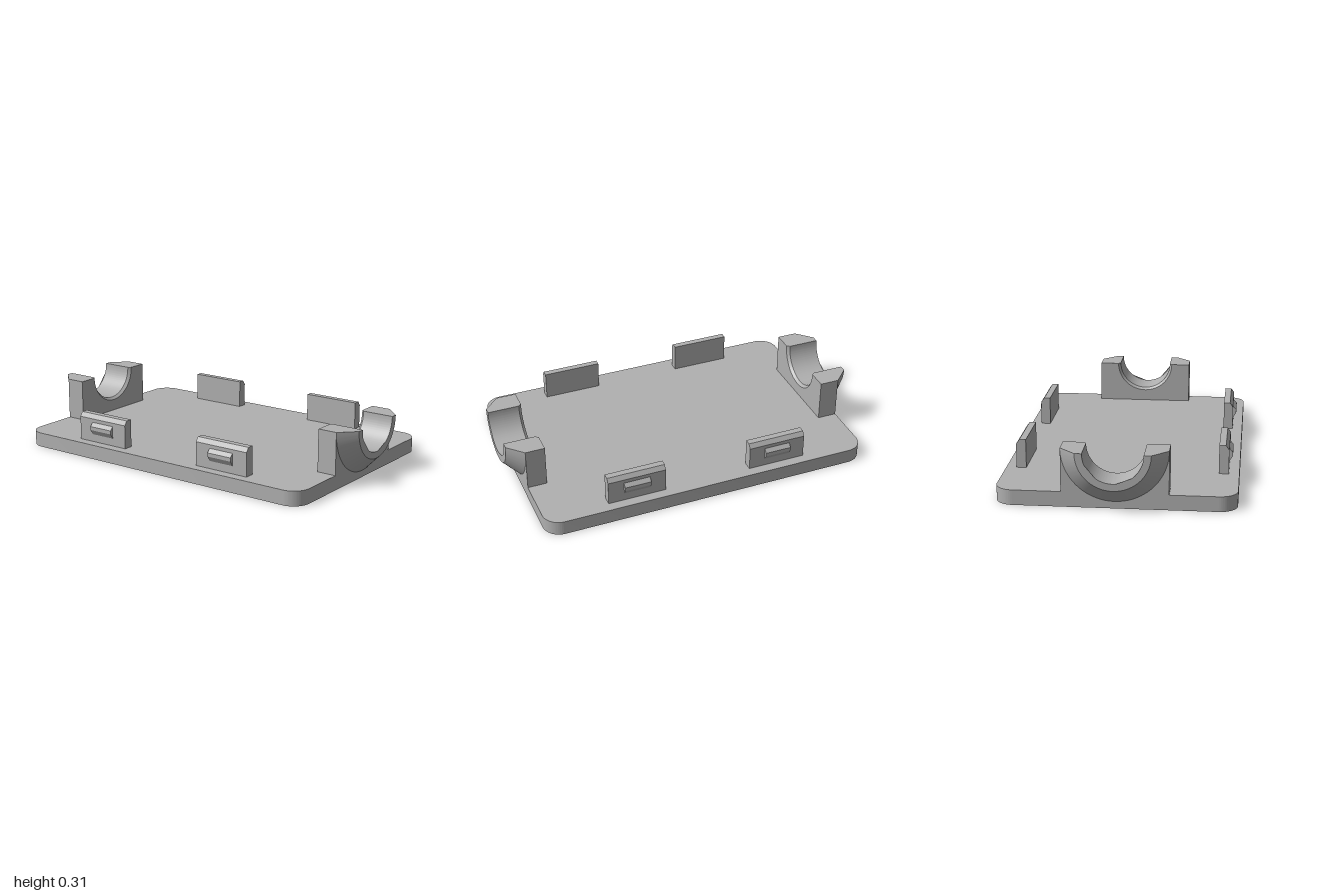
import * as THREE from 'three';
import { toCreasedNormals } from 'three/addons/utils/BufferGeometryUtils.js';

const gray = new THREE.MeshStandardMaterial({ color: 0xb0b0b0 });
gray.name = 'plain gray';

const BASE_H = 0.08, BASE_X = 0.917, BASE_Z = 0.615;
const AXIS_Y = 0.31, BORE = 0.153, OUTER = 0.273;

function extrude(shape, depth) {
  return new THREE.ExtrudeGeometry(shape, { depth, bevelEnabled: false, curveSegments: 40 });
}

function mesh(name, geometry) {
  const m = new THREE.Mesh(toCreasedNormals(geometry, 0.5), gray);
  m.name = name;
  return m;
}

// Rescale the vertices at radius `from` on the end z = `end` to radius `to`
function flare(geometry, end, from, to) {
  const p = geometry.attributes.position;
  for (let i = 0; i < p.count; i++) {
    const x = p.getX(i), y = p.getY(i);
    if (Math.abs(p.getZ(i) - end) < 1e-4 && Math.abs(Math.hypot(x, y) - from) < 1e-3) {
      p.setXY(i, x * to / from, y * to / from);
    }
  }
  return geometry;
}

// Rounded base plate
function basePlate() {
  const r = 0.095, x = BASE_X, z = BASE_Z;
  const s = new THREE.Shape();
  s.absarc(x - r, z - r, r, 0, Math.PI / 2);
  s.absarc(-x + r, z - r, r, Math.PI / 2, Math.PI);
  s.absarc(-x + r, -z + r, r, Math.PI, Math.PI * 1.5);
  s.absarc(x - r, -z + r, r, Math.PI * 1.5, Math.PI * 2);
  s.closePath();
  return mesh('basePlate', extrude(s, BASE_H).rotateX(-Math.PI / 2));
}

// Block with a half-round bore
function blockShape() {
  const s = new THREE.Shape();
  const bottom = BASE_H - AXIS_Y;
  s.moveTo(OUTER, 0);
  s.lineTo(OUTER, bottom);
  s.lineTo(-OUTER, bottom);
  s.lineTo(-OUTER, 0);
  s.lineTo(-BORE, 0);
  s.absarc(0, 0, BORE, Math.PI, Math.PI * 2, false);
  s.closePath();
  return s;
}

// Lower half of a ring
function halfRingShape() {
  const s = new THREE.Shape();
  s.moveTo(OUTER, 0);
  s.absarc(0, 0, OUTER, 0, Math.PI, true);
  s.lineTo(-BORE, 0);
  s.absarc(0, 0, BORE, Math.PI, Math.PI * 2, false);
  s.closePath();
  return s;
}

// Half-round saddle: chamfered mouth, block and tapered collar, along +x
function saddle(name) {
  const inner = 0.81, lip = 0.016;
  const group = new THREE.Group();
  group.name = name;
  const place = (g, x) => g.rotateY(Math.PI / 2).translate(x, AXIS_Y, 0);
  group.add(
    mesh('saddleMouth', place(flare(extrude(blockShape(), lip), 0, BORE, BORE + 0.013), inner)),
    mesh('saddleBlock', place(extrude(blockShape(), BASE_X - inner - lip), inner + lip)),
    mesh('saddleCollar', place(flare(extrude(halfRingShape(), 1 - BASE_X), 1 - BASE_X, OUTER, 0.19), BASE_X))
  );
  return group;
}

// Prism from a (z, y) outline, centred on x
function prism(points, width, x) {
  const s = new THREE.Shape(points.map(([z, y]) => new THREE.Vector2(-z, y)));
  return extrude(s, width).rotateY(Math.PI / 2).translate(x - width / 2, 0, 0);
}

// Snap tab with its catch, facing +z
function snapTab(x) {
  const group = new THREE.Group();
  group.name = 'snapTab';
  group.add(
    mesh('tabPlate', prism([[0.508, BASE_H], [0.56, BASE_H], [0.56, 0.21], [0.543, 0.234], [0.508, 0.234]], 0.322, x)),
    mesh('tabCatch', prism([[0.555, 0.122], [0.56, 0.122], [0.578, 0.15], [0.578, 0.17], [0.56, 0.19], [0.555, 0.19]], 0.146, x))
  );
  return group;
}

export function createModel() {
  const model = new THREE.Group();
  model.name = 'cableCover';
  model.add(basePlate());
  // Each half carries one saddle and two tabs; the second is turned about y
  for (const [name, turn] of [['left', 0], ['right', Math.PI]]) {
    const half = new THREE.Group();
    half.name = name + 'Fittings';
    half.add(saddle(name + 'Saddle'), snapTab(-0.404), snapTab(0.404));
    half.rotation.y = turn;
    model.add(half);
  }
  return model;
}
